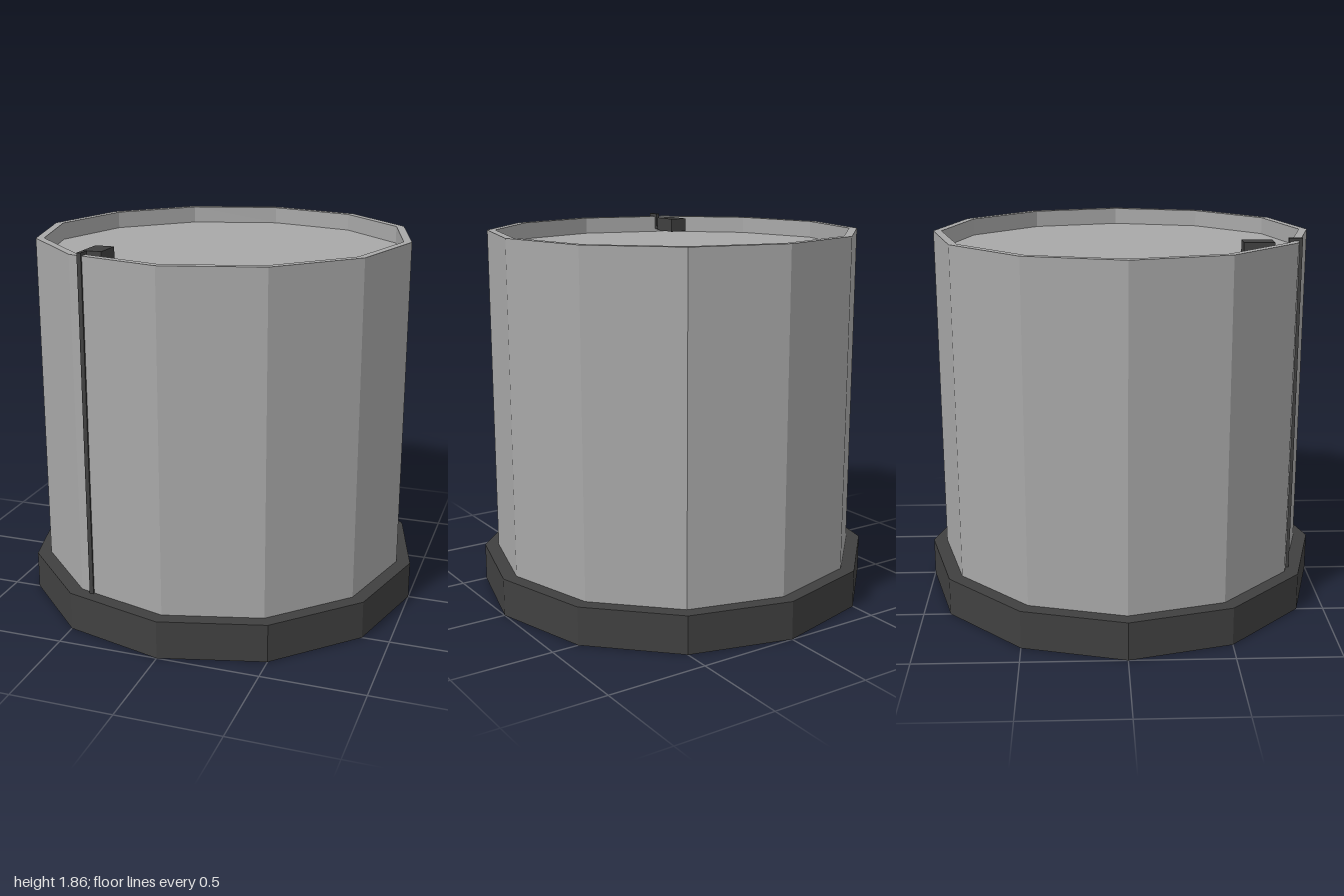
import * as THREE from 'three';

const SIDES = 12;

export function createModel() {
  const model = new THREE.Group();
  model.name = 'tank';

  const wallGrey = new THREE.MeshStandardMaterial({ color: 0xa8a8a8, flatShading: true });
  wallGrey.name = 'wallGrey';
  const darkGrey = new THREE.MeshStandardMaterial({ color: 0x404040, flatShading: true });
  darkGrey.name = 'darkGrey';

  const add = (name, geometry, material, parent = model) => {
    const mesh = new THREE.Mesh(geometry, material);
    mesh.name = name;
    parent.add(mesh);
    return mesh;
  };

  // Twelve-sided plinth
  add('base', new THREE.CylinderGeometry(1, 1, 0.19, SIDES), darkGrey).position.y = 0.095;

  // Tank wall, rim and recessed lid in one profile
  const profile = [[0.93, 0.19], [0.93, 1.84], [0.89, 1.84], [0.89, 1.755], [0, 1.755]]
    .map(([r, y]) => new THREE.Vector2(r, y));
  add('tankBody', new THREE.LatheGeometry(profile, SIDES), wallGrey);

  // Cable that climbs the wall, hooks over the rim and reaches the sensor box
  const sensor = new THREE.Group();
  sensor.name = 'sensor';
  model.add(sensor);
  const block = (name, x0, x1, y0, y1, z0, z1) =>
    add(name, new THREE.BoxGeometry(x1 - x0, y1 - y0, z1 - z0), darkGrey, sensor)
      .position.set((x0 + x1) / 2, (y0 + y1) / 2, (z0 + z1) / 2);

  block('cableOutside', -0.412, -0.392, 0.19, 1.855, 0.818, 0.835);
  block('cableOverRim', -0.412, -0.392, 1.84, 1.855, 0.77, 0.818);
  block('cableInside', -0.412, -0.392, 1.77, 1.84, 0.77, 0.785);
  block('cableToBox', -0.412, -0.392, 1.77, 1.787, 0.7, 0.77);
  block('sensorBox', -0.449, -0.355, 1.77, 1.84, 0.555, 0.7);

  return model;
}
